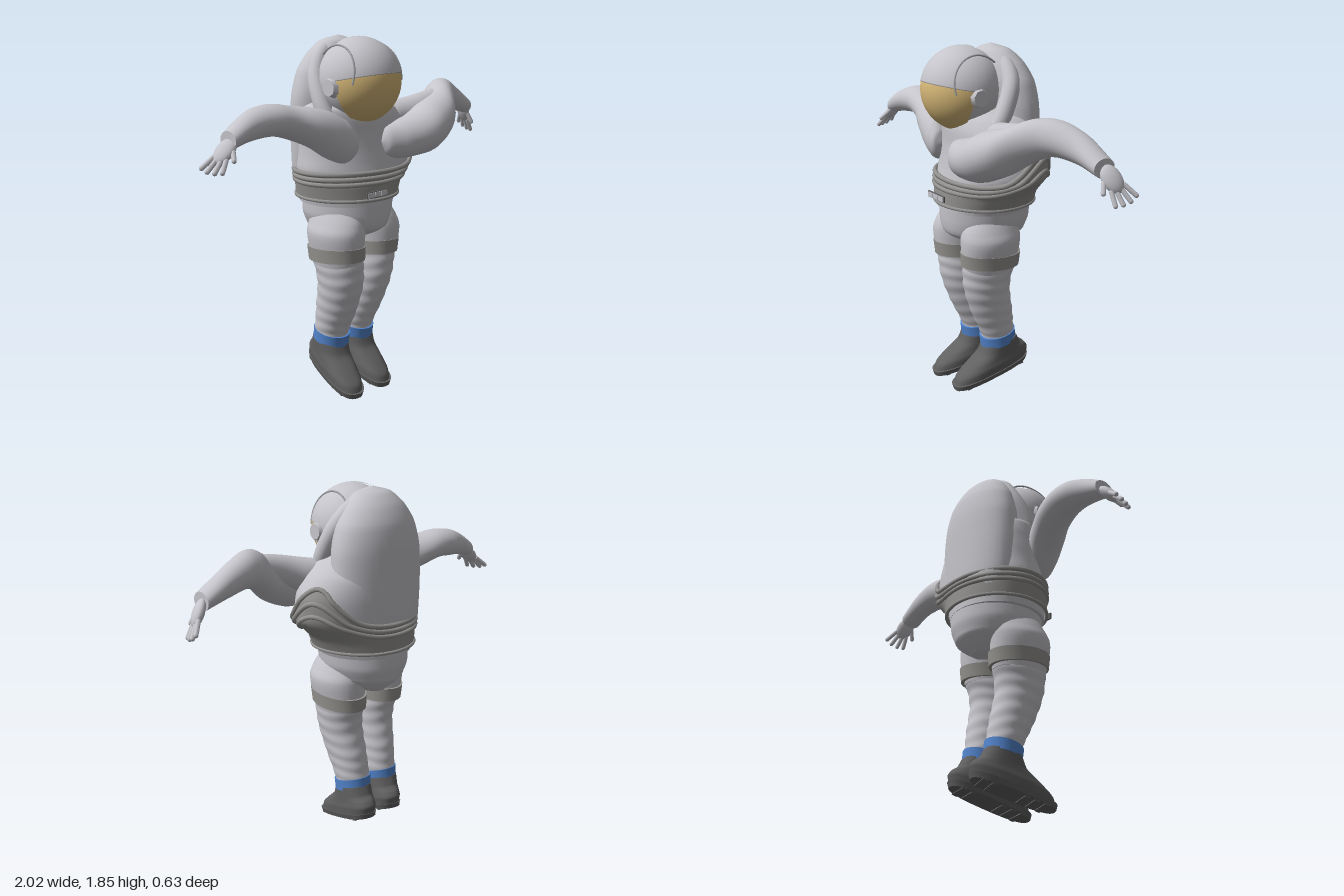
import * as THREE from 'three';

const mat = (name, color, side = THREE.FrontSide) => {
  const m = new THREE.MeshStandardMaterial({ color, side });
  m.name = name;
  return m;
};
const V = (x, y, z) => new THREE.Vector3(x, y, z);

// Smooth skin over elliptical sections [along, cx, cz, rx, rz, tilt].
// axis 'y': stacked upward; axis 'x': [x, y, z, ry, rz] strung along x. power < 1 squares the sections.
function loft(keys, { axis = 'y', rows = 30, sides = 36, ripple = 0, waves = 8, power = 1 } = {}) {
  const centre = new THREE.CatmullRomCurve3(keys.map(k => V(k[0], k[1], k[2])));
  const size = new THREE.CatmullRomCurve3(keys.map(k => V(k[3], k[4], k[5] || 0)));
  const pos = [], idx = [];
  const bend = v => Math.sign(v) * Math.abs(v) ** power;
  const ring = t => {
    const c = centre.getPoint(t), s = size.getPoint(t);
    for (let j = 0; j < sides; j++) {
      const a = j / sides * Math.PI * 2;
      const f = 1 + ripple * Math.sin(t * waves * Math.PI * 2 + Math.sin(a * 2 + t * 5));
      const u = bend(Math.cos(a)) * f, v = bend(Math.sin(a)) * f;
      if (axis === 'y') pos.push(c.y + s.x * v, c.x + s.z * s.y * u, c.z + s.y * u);
      else pos.push(c.x, c.y + s.x * u, c.z + s.y * v);
    }
    return c;
  };
  for (let i = 0; i <= rows; i++) ring(i / rows);
  for (let i = 0; i < rows; i++) for (let j = 0; j < sides; j++) {
    const k = (j + 1) % sides, a = i * sides + j, b = i * sides + k;
    idx.push(a, b, a + sides, b, b + sides, a + sides);
  }
  for (const t of [0, 1]) {
    const start = pos.length / 3, c = ring(t);
    if (axis === 'y') pos.push(c.y, c.x, c.z); else pos.push(c.x, c.y, c.z);
    for (let j = 0; j < sides; j++) {
      const a = start + j, b = start + (j + 1) % sides;
      idx.push(start + sides, t ? a : b, t ? b : a);
    }
  }
  return finish(pos, idx);
}

function finish(pos, idx) {
  const g = new THREE.BufferGeometry();
  g.setAttribute('position', new THREE.Float32BufferAttribute(pos, 3));
  g.setIndex(idx);
  g.computeVertexNormals();
  return g;
}

export function createModel() {
  const suit = mat('suit grey', 0xc4c4ca), vestMat = mat('vest grey', 0x939290, THREE.DoubleSide);
  const strap = mat('strap grey', 0x969490), boot = mat('boot charcoal', 0x606060);
  const blue = mat('ankle blue', 0x5284cc), gold = mat('visor gold', 0xd6b878);
  const trim = mat('trim grey', 0xa4a4aa);
  const root = new THREE.Group();
  const add = (name, geo, m, parent = root) => {
    const mesh = new THREE.Mesh(geo, m);
    mesh.name = name;
    parent.add(mesh);
    return mesh;
  };

  // Torso, pelvis and tall back pack
  const torso = [[1.02, -0.065, -0.05, 0.245, 0.245], [1.12, -0.05, -0.05, 0.28, 0.243],
    [1.22, -0.005, -0.053, 0.345, 0.235], [1.34, 0, -0.06, 0.34, 0.225], [1.44, -0.025, -0.06, 0.31, 0.22],
    [1.51, -0.06, -0.055, 0.262, 0.195], [1.56, -0.075, -0.06, 0.15, 0.12]];
  add('torso', loft(torso), suit);
  add('pelvis', loft([[0.81, -0.062, -0.11, 0.06, 0.08], [0.845, -0.062, -0.07, 0.13, 0.165], [0.89, -0.062, -0.05, 0.195, 0.223],
    [0.96, -0.06, -0.051, 0.225, 0.24], [1.07, -0.055, -0.05, 0.235, 0.243]]), suit);
  add('backPack', loft([[1.08, -0.065, -0.16, 0.22, 0.13], [1.2, -0.06, -0.158, 0.255, 0.142], [1.4, -0.055, -0.155, 0.27, 0.145],
    [1.55, -0.055, -0.15, 0.265, 0.148], [1.68, -0.055, -0.14, 0.232, 0.142], [1.77, -0.06, -0.125, 0.172, 0.115],
    [1.83, -0.065, -0.11, 0.1, 0.07], [1.853, -0.07, -0.1, 0.01, 0.01]], { rows: 40 }), suit);
  const hood = new THREE.CatmullRomCurve3([V(0.15, 1.42, 0.05), V(0.165, 1.54, -0.01), V(0.135, 1.68, -0.075),
    V(0.04, 1.77, -0.1), V(-0.08, 1.79, -0.11), V(-0.18, 1.77, -0.1), V(-0.25, 1.67, -0.075), V(-0.28, 1.54, -0.01), V(-0.27, 1.42, 0.05)]);
  add('hoodRim', new THREE.TubeGeometry(hood, 48, 0.045, 14), suit);

  // Waist vest whose upper edge climbs under the left arm
  const vestPoint = (a, s, off) => {
    let d = a - 1.9;
    if (d > Math.PI) d -= Math.PI * 2;
    const y = 1.05 + s * (0.143 + 0.217 * Math.exp(-d * d / 0.36));
    let i = 0;
    while (y > torso[i + 1][0]) i++;
    const p = torso[i], q = torso[i + 1], f = (y - p[0]) / (q[0] - p[0]);
    const [, cx, cz, rx, rz] = p.map((v, k) => v + (q[k] - v) * f);
    return V(cx + (rx + off) * Math.sin(a), y, cz + (rz + off) * Math.cos(a));
  };
  const vest = new THREE.Group();
  vest.name = 'vest';
  root.add(vest);
  const pos = [], idx = [], n = 64, rows = 14;
  for (let i = 0; i <= rows; i++) for (let j = 0; j < n; j++) {
    pos.push(...vestPoint(j / n * Math.PI * 2, i / rows, 0.014).toArray());
    const a = i * n + j, b = i * n + (j + 1) % n;
    if (i < rows) idx.push(a, b, a + n, b, b + n, a + n);
  }
  add('vestPanel', finish(pos, idx), vestMat, vest);
  for (const [s, r] of [[0.02, 0.009], [0.6, 0.012], [0.78, 0.013], [0.97, 0.013]]) {
    const pts = Array.from({ length: 48 }, (_, j) => vestPoint(j / 48 * Math.PI * 2, s, 0.014));
    add('vestBand', new THREE.TubeGeometry(new THREE.CatmullRomCurve3(pts, true), 96, r, 8, true), vestMat, vest);
  }
  const plate = add('bucklePlate', new THREE.BoxGeometry(0.15, 0.032, 0.009), boot, vest);
  plate.position.set(-0.115, 1.085, 0.21);
  for (let i = -1; i <= 1; i++) {
    add('buckleTab', new THREE.BoxGeometry(0.044, 0.025, 0.009), suit, vest).position.set(-0.115 + i * 0.047, 1.085, 0.214);
  }

  // Helmet with gold visor, raised shade, side ridges and ear discs
  const helmet = new THREE.Group();
  helmet.name = 'helmet';
  helmet.position.set(-0.09, 1.64, 0.062);
  helmet.rotation.set(-0.2, -0.06, 0);
  root.add(helmet);
  add('helmetShell', new THREE.SphereGeometry(0.208, 40, 28), suit, helmet);
  const visor = add('visor', new THREE.SphereGeometry(0.213, 36, 20, Math.PI / 2 - 1.36, 2.72, 1.5, 1.55), gold, helmet);
  visor.position.y = -0.004;
  add('visorShade', new THREE.SphereGeometry(0.215, 36, 16, Math.PI / 2 - 1.6, 3.2, 0, 1.56), suit, helmet);
  const rim = add('shadeRim', new THREE.TorusGeometry(0.213, 0.003, 6, 40, Math.PI), trim, helmet);
  rim.rotation.x = Math.PI / 2;
  rim.position.y = 0.004;
  for (const s of [-1, 1]) {
    const ridge = add('helmetRidge', new THREE.TorusGeometry(0.145, 0.005, 6, 48, Math.PI * 1.15), trim, helmet);
    ridge.position.set(s * 0.155, 0.035, 0);
    ridge.rotation.set(0, Math.PI / 2, s * 0.2, 'ZYX');
    const ear = add('earDisc', new THREE.CylinderGeometry(0.042, 0.052, 0.034, 8), suit, helmet);
    ear.rotation.z = -s * Math.PI / 2;
    ear.position.set(s * 0.209, -0.025, 0.02);
  }

  // Arms, spread like wings, the left one swung further forward
  add('leftArm', loft([[-0.03, 1.33, 0.15, 0.015, 0.015], [-0.005, 1.33, 0.15, 0.07, 0.06], [0.08, 1.33, 0.165, 0.095, 0.1],
    [0.2, 1.35, 0.185, 0.11, 0.123], [0.3, 1.38, 0.18, 0.127, 0.135], [0.42, 1.425, 0.15, 0.118, 0.13], [0.53, 1.49, 0.08, 0.102, 0.11],
    [0.62, 1.51, 0.03, 0.086, 0.09], [0.75, 1.48, -0.012, 0.07, 0.068], [0.89, 1.42, -0.025, 0.045, 0.06]], { axis: 'x', rows: 50, sides: 28 }), suit);
  add('leftShoulder', loft([[0.05, 1.41, 0.02, 0.05, 0.06], [0.2, 1.425, 0.035, 0.085, 0.08], [0.33, 1.45, 0.08, 0.085, 0.075],
    [0.45, 1.485, 0.09, 0.07, 0.07], [0.56, 1.51, 0.06, 0.05, 0.05]], { axis: 'x' }), suit);
  add('rightArm', loft([[-0.88, 1.42, 0, 0.045, 0.055], [-0.8, 1.455, -0.005, 0.06, 0.065], [-0.7, 1.478, -0.02, 0.073, 0.085],
    [-0.6, 1.483, -0.015, 0.077, 0.095], [-0.5, 1.46, 0, 0.083, 0.1], [-0.4, 1.43, 0.04, 0.1, 0.105], [-0.32, 1.39, 0.07, 0.118, 0.1],
    [-0.25, 1.355, 0.1, 0.112, 0.08], [-0.2, 1.345, 0.12, 0.065, 0.05], [-0.185, 1.345, 0.12, 0.015, 0.015]], { axis: 'x', rows: 50, sides: 28 }), suit);

  // Hands hang from the cuffs, thumbs forward and turned slightly inward
  const makeHand = (name, x, y, z, lean, back, twist) => {
    const hand = new THREE.Group();
    hand.name = name;
    hand.position.set(x, y, z);
    hand.rotation.set(back, twist, lean, 'ZXY');
    hand.scale.setScalar(1.15);
    root.add(hand);
    const palm = add('palm', new THREE.SphereGeometry(1, 16, 12), suit, hand);
    palm.scale.set(0.023, 0.062, 0.042);
    palm.position.y = -0.045;
    for (let i = 0; i < 5; i++) {
      const thumb = i === 4, len = thumb ? 0.05 : 0.06 + 0.01 * Math.sin(i + 0.5);
      const g = new THREE.CapsuleGeometry(0.0105, len, 4, 8);
      g.translate(0, -len / 2, 0);
      const finger = add(thumb ? 'thumb' : 'finger', g, suit, hand);
      finger.position.set(0, thumb ? -0.035 : -0.085, thumb ? 0.032 : -0.03 + i * 0.02);
      finger.rotation.x = thumb ? -0.65 : 0.3 - i * 0.2;
    }
  };
  makeHand('leftHand', 0.893, 1.418, -0.03, 0.58, 0.28, -0.35);
  makeHand('rightHand', -0.868, 1.415, 0.005, -0.8, -0.05, 0.3);

  // Legs, mirrored about the body's middle
  for (const s of [-1, 1]) {
    const side = s < 0 ? 'right' : 'left', mid = -0.062;
    const place = keys => keys.map(([y, c, ...rest]) => [y, mid + s * c, ...rest]);
    add(side + 'Thigh', loft(place([[0.7, 0.122, 0, 0.11, 0.145], [0.77, 0.128, 0, 0.118, 0.16], [0.87, 0.132, 0, 0.128, 0.168],
      [0.93, 0.122, -0.005, 0.116, 0.16], [1.02, 0.105, -0.02, 0.09, 0.12]])), suit);
    add(side + 'Shin', loft(place([[0.24, 0.092, -0.085, 0.082, 0.085], [0.32, 0.093, -0.07, 0.09, 0.094], [0.45, 0.1, -0.03, 0.1, 0.117],
      [0.6, 0.11, 0.008, 0.109, 0.13], [0.74, 0.122, 0.002, 0.112, 0.15]]), { rows: 72, ripple: 0.015, waves: 8 }), suit);
    add(side + 'ThighStrap', loft(place([[0.725, 0.125, -0.002, 0.122, 0.165, 0.06],
      [0.797, 0.129, -0.002, 0.125, 0.172, 0.06]]), { rows: 2 }), strap);
    add(side + 'AnkleBand', loft(place([[0.255, 0.093, -0.08, 0.092, 0.097, -0.22],
      [0.312, 0.093, -0.073, 0.094, 0.098, -0.22]]), { rows: 2 }), blue);

    // Boot, pitched onto its toe and turned to the right
    const foot = new THREE.Group();
    foot.name = side + 'Boot';
    foot.position.set(mid + s * 0.095, 0, -0.08);
    foot.rotation.y = s < 0 ? -0.26 : -0.16;
    root.add(foot);
    add('bootUpper', loft([[0.09, 0, 0.05, 0.084, 0.213, -0.29], [0.13, 0, 0.04, 0.087, 0.21, -0.29], [0.175, 0, 0.018, 0.085, 0.17, -0.27],
      [0.215, 0, 0, 0.085, 0.118, -0.23], [0.268, 0, -0.002, 0.086, 0.092, -0.22]], { power: 0.8 }), boot, foot);
    add('bootSole', loft([[0.07, 0, 0.05, 0.082, 0.213, -0.29], [0.098, 0, 0.05, 0.09, 0.22, -0.29]], { rows: 2, power: 0.75 }), boot, foot);
    for (const z of [-0.11, -0.06, 0.1, 0.15, 0.2]) {
      const tread = add('tread', new THREE.BoxGeometry(0.13, 0.014, 0.026), boot, foot);
      tread.position.set(0, 0.072 - 0.29 * (z - 0.05), z);
      tread.rotation.x = 0.28;
    }
  }
  return root;
}
